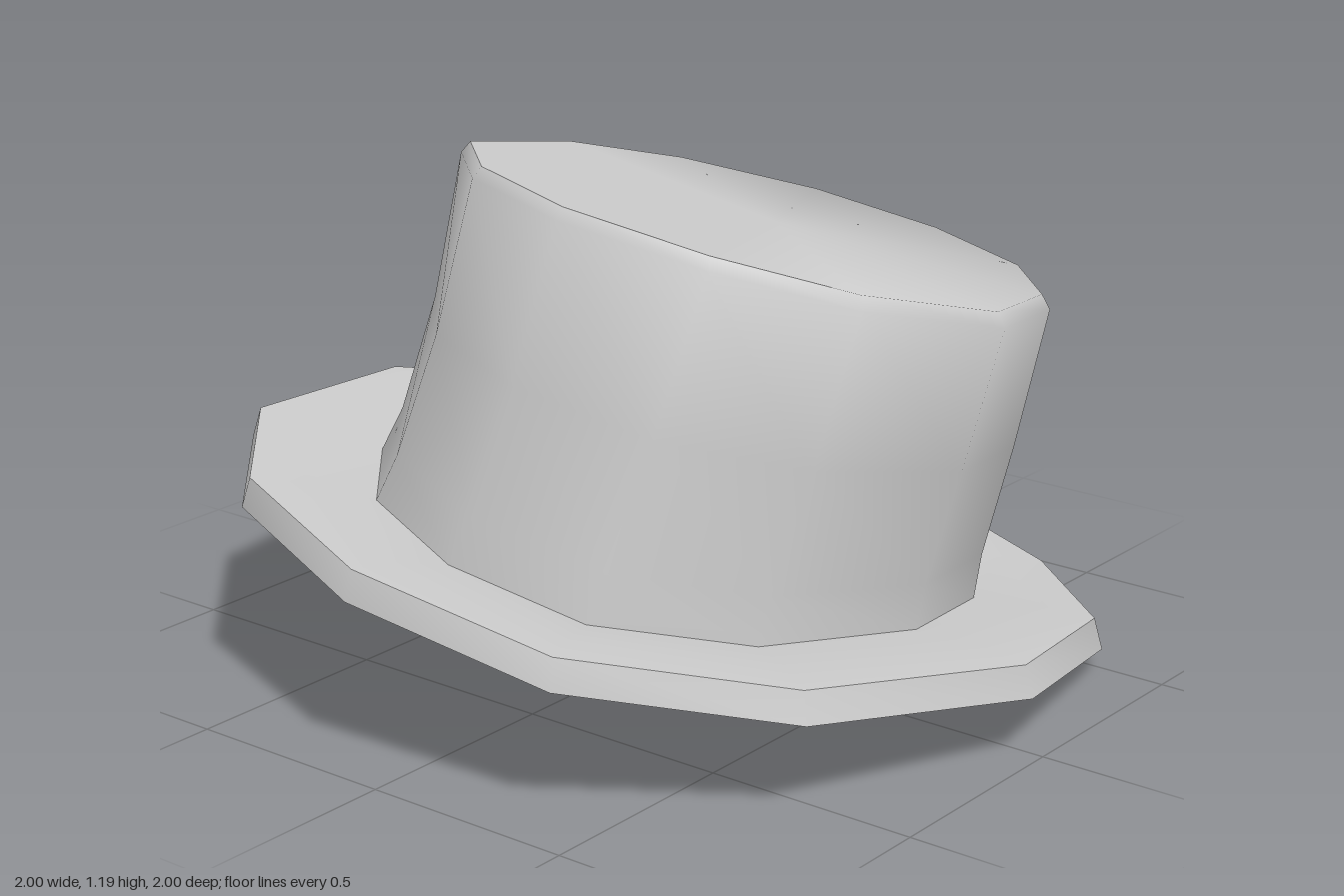
import * as THREE from 'three';
import { toCreasedNormals } from 'three/addons/utils/BufferGeometryUtils.js';

// Tilted twelve-sided brim edge, clockwise from the back: [x, y, z]
const EDGE = [
  [0, 0.05, -1], [0.48, 0, -0.85], [0.86, 0.06, -0.47], [1, 0.15, 0.05],
  [0.82, 0.23, 0.61], [0.43, 0.31, 0.94], [-0.07, 0.4, 1], [-0.54, 0.455, 0.83],
  [-0.88, 0.455, 0.46], [-1, 0.39, -0.13], [-0.85, 0.28, -0.6], [-0.46, 0.145, -0.91],
];

// Crown rim outline [x, z]; its height follows a slightly steeper plane
const RIM = [
  [0.15, -0.84], [0.46, -0.73], [0.69, -0.47], [0.82, -0.08], [0.71, 0.28], [0.45, 0.46],
  [0.11, 0.53], [-0.2, 0.44], [-0.43, 0.22], [-0.5, -0.22], [-0.41, -0.54], [-0.17, -0.78],
];
const CENTRE = [0.16, -0.16];

const crownHeight = (x, z) => 1 - 0.145 * (x - 0.16) + 0.23 * (z + 0.16);

// Ring on the brim: scaled edge, lifted above the edge plane
const brimRing = (scale, lift) =>
  EDGE.map(([x, y, z]) => [x * scale, 0.244 + (y - 0.244) * scale + lift, z * scale]);

// Ring on the crown rim: inset towards its centre, moved vertically
const rimRing = (scale, lift) => RIM.map(([px, pz]) => {
  const x = CENTRE[0] + (px - CENTRE[0]) * scale;
  const z = CENTRE[1] + (pz - CENTRE[1]) * scale;
  return [x, crownHeight(x, z) + lift, z];
});

// Ring part way up the crown wall, waisted a little on the right-hand side
const wallRing = (low, high, t, narrow, shift) => low.map((p, i) => {
  const [x, y, z] = p.map((v, k) => v + (high[i][k] - v) * t);
  return [x * narrow + shift, y, z];
});

// Skin a stack of rings; optional centre points close the ends
function skin(rings, bottom, top) {
  const n = EDGE.length;
  const points = [];
  for (let j = 0; j < n; j++) {
    const k = (j + 1) % n;
    for (let i = 0; i + 1 < rings.length; i++) {
      const a = rings[i][j], b = rings[i][k], c = rings[i + 1][k], d = rings[i + 1][j];
      points.push(a, d, c, a, c, b);
    }
    if (bottom) points.push(bottom, rings[0][j], rings[0][k]);
    if (top) points.push(top, rings[rings.length - 1][k], rings[rings.length - 1][j]);
  }
  const geometry = new THREE.BufferGeometry();
  geometry.setAttribute('position', new THREE.Float32BufferAttribute(points.flat(), 3));
  return toCreasedNormals(geometry, 0.95);
}

export function createModel() {
  const group = new THREE.Group();
  group.name = 'topHat';
  const material = new THREE.MeshStandardMaterial({ color: 0xcccccc, side: THREE.DoubleSide });

  const add = (name, geometry) => {
    const mesh = new THREE.Mesh(geometry, material);
    mesh.name = name;
    group.add(mesh);
  };

  const rim = rimRing(1, -0.025);
  const base = wallRing(brimRing(0.72, 0.05), rim, 0, 0.95, 0.01);

  // Brim: closed underside, thick lip and a shallow dip towards the crown
  add('brim', skin([brimRing(1, 0), brimRing(0.98, 0.07), brimRing(0.86, 0.07), base],
    [0, 0.244, 0], null));

  // Crown: flared foot, leaning wall, bevelled rim and flat top
  add('crown', skin([
    base,
    wallRing(base, rim, 0.15, 0.97, 0.01),
    wallRing(base, rim, 0.53, 0.97, 0.02),
    rim,
    rimRing(0.97, 0.005),
  ], null, [CENTRE[0], crownHeight(...CENTRE) + 0.005, CENTRE[1]]));

  return group;
}
